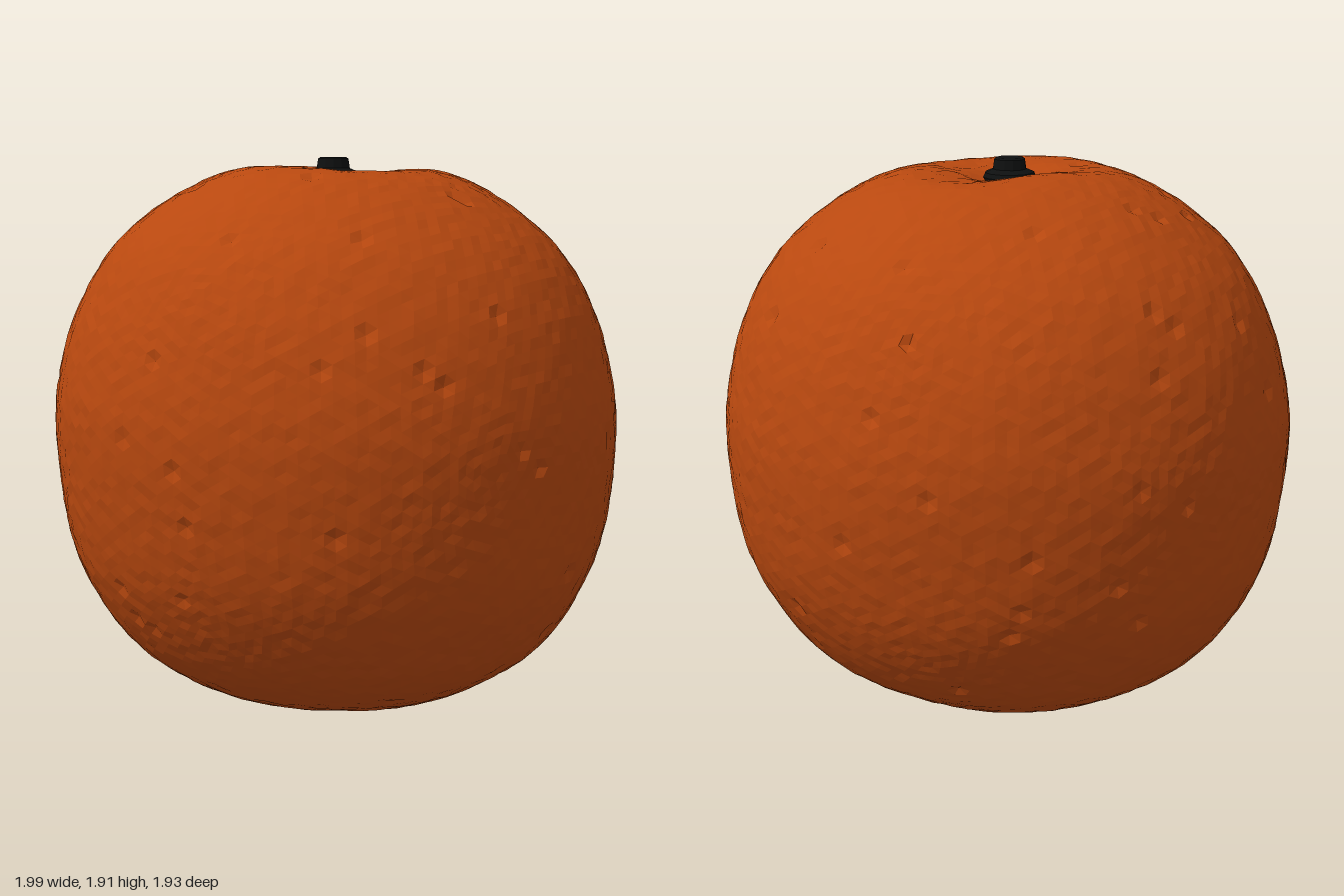
import * as THREE from 'three';

const peelMaterial = new THREE.MeshStandardMaterial({ color: 0xb8480f });
peelMaterial.name = 'orange peel';
const stemMaterial = new THREE.MeshStandardMaterial({ color: 0x0e1010 });
stemMaterial.name = 'black stem';

// Repeatable value in 0..1 for a point, the same for all corners that share it
function hash(x, y, z) {
  const q = (v) => Math.round(v * 1000);
  const s = Math.sin(q(x) * 12.9898 + q(y) * 78.233 + q(z) * 37.719) * 43758.5453;
  return s - Math.floor(s);
}

// Half outline of the fruit from the stem dimple down to the base (radius, height)
const outline = new THREE.SplineCurve([
  [0, 1.835], [0.08, 1.84], [0.2, 1.873], [0.38, 1.868], [0.58, 1.775], [0.77, 1.615],
  [0.89, 1.43], [0.96, 1.23], [0.995, 1.0], [0.97, 0.68], [0.905, 0.46],
  [0.77, 0.25], [0.6, 0.12], [0.4, 0.038], [0.2, 0.01], [0, 0.008],
].map(([x, y]) => new THREE.Vector2(x, y)));

function makePeel() {
  const geometry = new THREE.IcosahedronGeometry(1, 30);
  const position = geometry.attributes.position;
  const d = new THREE.Vector3();
  const p = new THREE.Vector2();
  for (let i = 0; i < position.count; i++) {
    d.fromBufferAttribute(position, i).normalize();
    const polar = Math.acos(THREE.MathUtils.clamp(d.y, -1, 1));
    const around = Math.atan2(d.z, d.x);
    outline.getPointAt(polar / Math.PI, p);

    // Uneven shoulders around the dimple
    const shoulder = Math.exp(-(((p.x - 0.25) / 0.13) ** 2)) * (d.y > 0 ? 1 : 0);
    const lift = shoulder * (0.008 * Math.sin(around * 3 + 2.5) - 0.008 * Math.cos(around));

    // Soft waves, fine grain and scattered pits in the skin
    const wave = 0.003 * Math.sin(7 * d.x + 4 * d.y) * Math.sin(6 * d.z - 5 * d.y);
    const h = hash(d.x, d.y, d.z);
    const grain = 0.005 * (h - 0.5) - (h > 0.991 ? 0.014 : 0);
    const swell = 1 + wave + grain;

    // Slightly narrower from front to back, more so towards the base
    const depth = Math.min(1, 0.925 + 0.043 * p.y);
    const y = 0.95 + (p.y - 0.95) * swell + lift;
    position.setXYZ(
      i,
      Math.cos(around) * p.x * swell,
      Math.max(0, y),
      Math.sin(around) * p.x * swell * depth,
    );
  }
  geometry.computeVertexNormals();
  const mesh = new THREE.Mesh(geometry, peelMaterial);
  mesh.name = 'peel';
  return mesh;
}

// Flared, faceted stub with a flat top
function makeStem() {
  const profile = [[0.07, 0], [0.092, 0.035], [0.085, 0.05], [0.058, 0.062], [0.053, 0.095], [0.045, 0.1], [0, 0.1]];
  const points = profile.map(([x, y]) => new THREE.Vector2(x, y));
  const geometry = new THREE.LatheGeometry(points, 12).toNonIndexed();
  geometry.computeVertexNormals();
  const mesh = new THREE.Mesh(geometry, stemMaterial);
  mesh.name = 'stem';
  mesh.position.set(-0.012, 1.82, -0.01);
  return mesh;
}

export function createModel() {
  const model = new THREE.Group();
  model.name = 'orange';
  model.add(makePeel(), makeStem());
  return model;
}
